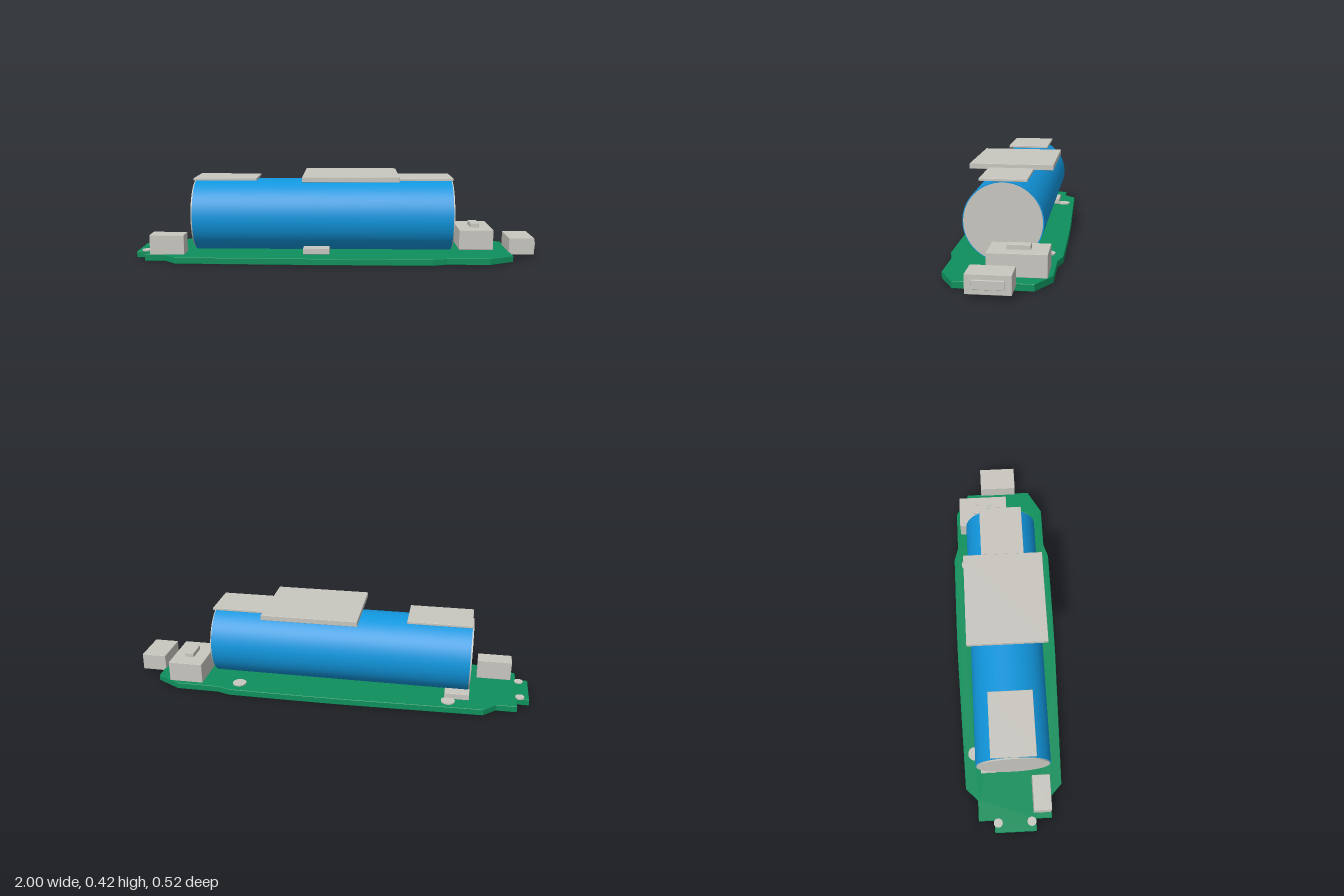
import * as THREE from 'three';
import { RoundedBoxGeometry } from 'three/addons/geometries/RoundedBoxGeometry.js';

const material = (name, color) => {
  const m = new THREE.MeshStandardMaterial({ color });
  m.name = name;
  return m;
};

export function createModel() {
  const green = material('board green', 0x0e8f5c);
  const blue = material('cell blue', 0x1196dd);
  const grey = material('metal grey', 0xc8c6bf);
  const model = new THREE.Group();
  model.name = 'batteryBoard';

  const add = (name, geometry, mat) => {
    const mesh = new THREE.Mesh(geometry, mat);
    mesh.name = name;
    model.add(mesh);
    return mesh;
  };
  // Box given by its limits on each axis, with slightly softened edges
  const box = (name, [x0, x1], [y0, y1], [z0, z1]) =>
    add(name, new RoundedBoxGeometry(x1 - x0, y1 - y0, z1 - z0, 1, 0.002), grey)
      .position.set((x0 + x1) / 2, (y0 + y1) / 2, (z0 + z1) / 2);

  // Circuit board: half outline mirrored across the long axis
  const half = [
    [-1, 0.102], [-0.94, 0.102], [-0.94, 0.18], [-0.84, 0.18], [-0.78, 0.238],
    [-0.1, 0.257], [0.1, 0.259], [0.47, 0.259], [0.54, 0.238], [0.75, 0.238], [0.872, 0.17],
  ];
  const outline = [
    ...half.map(([x, z]) => new THREE.Vector2(x, -z)),
    ...half.slice().reverse().map(([x, z]) => new THREE.Vector2(x, z)),
  ];
  const boardGeometry = new THREE.ExtrudeGeometry(new THREE.Shape(outline), {
    depth: 0.028, bevelThickness: 0.002, bevelSize: 0.002, bevelOffset: -0.002, bevelSegments: 1,
  });
  boardGeometry.rotateX(-Math.PI / 2).translate(0, 0.002, 0);
  add('board', boardGeometry, green);

  // Battery cell lying along x, with metal end caps
  const cylinderX = (name, radius, x0, x1, mat) => {
    const g = new THREE.CylinderGeometry(radius, radius, x1 - x0, 96);
    g.rotateZ(Math.PI / 2);
    add(name, g, mat).position.set((x0 + x1) / 2, 0.21, 0);
  };
  cylinderX('batteryCell', 0.181, -0.702, 0.577, blue);
  cylinderX('rightEndCap', 0.176, -0.709, -0.7, grey);
  cylinderX('leftEndCap', 0.176, 0.575, 0.583, grey);

  // Plates on top of the cell
  box('rightContactPlate', [-0.703, -0.39], [0.391, 0.403], [-0.107, 0.107]);
  box('leftContactPlate', [0.267, 0.58], [0.391, 0.403], [-0.107, 0.107]);
  box('topModule', [-0.16, 0.31], [0.395, 0.421], [-0.197, 0.197]);

  // Components on the board
  box('cornerConnector', [-0.915, -0.745], [0.032, 0.13], [0.09, 0.177]);
  box('frontChip', [-0.16, -0.03], [0.032, 0.062], [0.07, 0.16]);
  box('backChip', [-0.71, -0.59], [0.032, 0.062], [-0.16, -0.08]);
  box('switchBody', [0.624, 0.796], [0.032, 0.134], [-0.217, 0.041]);
  box('switchButton', [0.69, 0.735], [0.132, 0.155], [-0.14, -0.038]);
  box('portShell', [0.865, 0.99], [0.02, 0.104], [-0.095, 0.095]);
  box('portTongue', [0.98, 1], [0.043, 0.082], [-0.067, 0.067]);

  // Round solder pads
  const pads = [
    [-0.61, -0.186, 0.034], [0.437, -0.186, 0.034],
    [-0.955, -0.085, 0.022], [-0.955, 0.08, 0.022],
  ];
  for (const [x, z, r] of pads)
    add('solderPad', new THREE.CylinderGeometry(r, r, 0.008, 32), grey).position.set(x, 0.034, z);

  return model;
}
